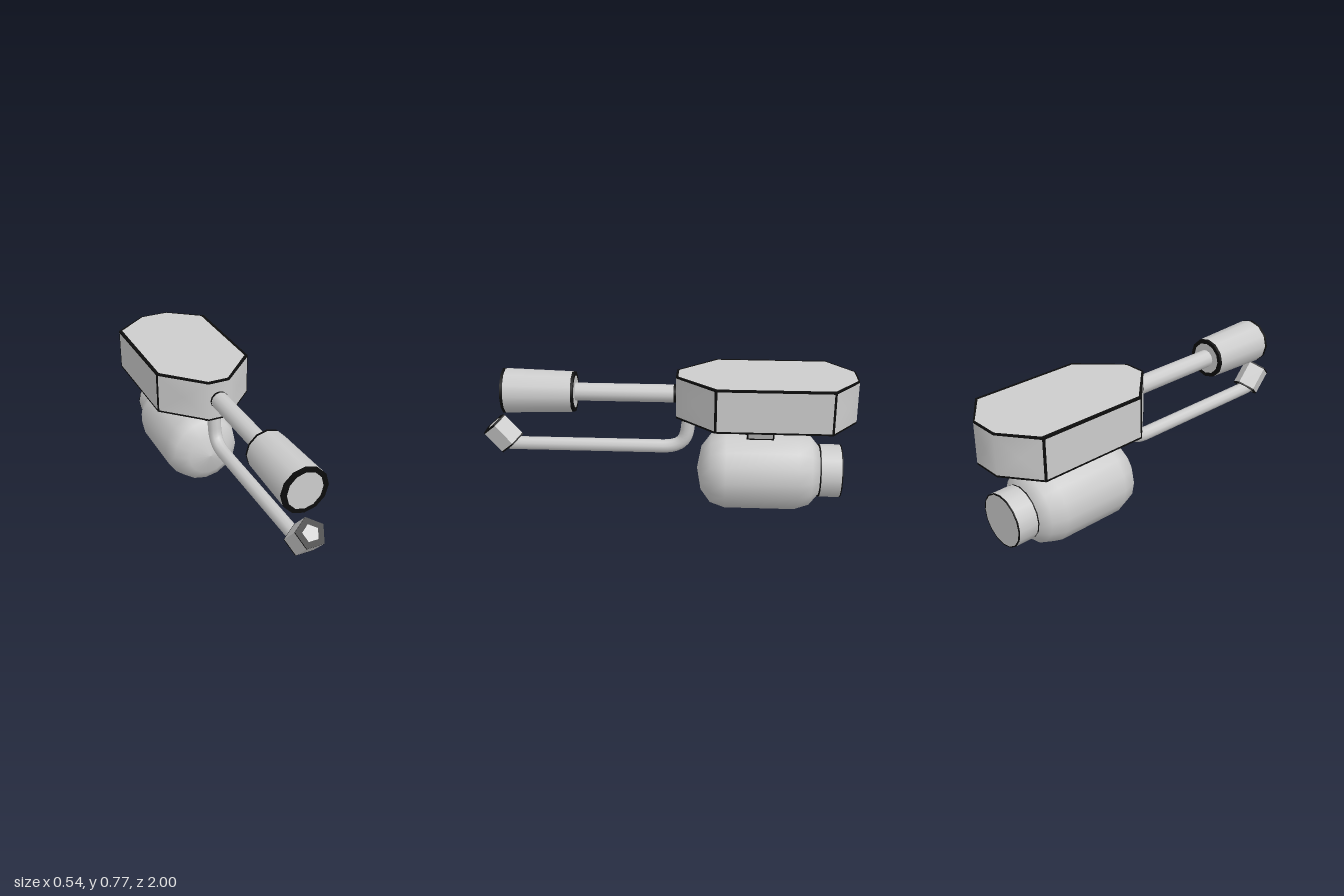
import * as THREE from 'three';

const grey = new THREE.MeshStandardMaterial({ color: 0xcccccc });
grey.name = 'light grey';
const black = new THREE.MeshStandardMaterial({ color: 0x0c0c0c });
black.name = 'black trim';

const V = (x, y, z) => new THREE.Vector3(x, y, z);

function add(parent, name, geometry, material) {
  const mesh = new THREE.Mesh(geometry, material);
  mesh.name = name;
  parent.add(mesh);
  return mesh;
}

const centre = (pts) => pts.reduce((s, p) => s.add(p), V(0, 0, 0)).divideScalar(pts.length);

// Convex panel: grey middle inside a black border, facing along "out"
function panel(parent, name, outer, inner, out) {
  const mid = centre(inner);
  const n = outer.length;
  const normal = V(0, 0, 0);
  const c = centre(outer);
  outer.forEach((p, i) => normal.add(p.clone().sub(c).cross(outer[(i + 1) % n].clone().sub(c))));
  if (normal.dot(out) < 0) {
    outer = [...outer].reverse();
    inner = [...inner].reverse();
  }
  const middle = [], border = [];
  for (let i = 0; i < n; i++) {
    const j = (i + 1) % n;
    middle.push(mid, inner[i], inner[j]);
    border.push(outer[i], outer[j], inner[j], outer[i], inner[j], inner[i]);
  }
  const g = new THREE.BufferGeometry().setFromPoints([...middle, ...border]);
  g.addGroup(0, middle.length, 0);
  g.addGroup(middle.length, border.length, 1);
  g.computeVertexNormals();
  return add(parent, name, g, [grey, black]);
}

// Four-cornered panel a-b-c-d; wa and wb are border widths at the a-d and b-c sides, wh along a-b and d-c
function quad(parent, name, [a, b, c, d], out, wa, wb, wh) {
  const at = (u, v) => a.clone().lerp(b, u).lerp(d.clone().lerp(c, u), v);
  const len = a.distanceTo(b), h = wh / a.distanceTo(d);
  const u0 = wa / len, u1 = 1 - wb / len;
  return panel(parent, name, [a, b, c, d], [at(u0, h), at(u1, h), at(u1, 1 - h), at(u0, 1 - h)], out);
}

// Six-sided block from four top and four bottom corners
function block(parent, name, top, bottom, w) {
  const group = new THREE.Group();
  group.name = name;
  const mid = centre([...top, ...bottom]);
  const face = (pts) => quad(group, name + 'Face', pts, centre(pts).sub(mid), w, w, w);
  face(top);
  face(bottom);
  for (let i = 0; i < 4; i++) {
    const j = (i + 1) % 4;
    face([top[i], top[j], bottom[j], bottom[i]]);
  }
  parent.add(group);
}

// Open sleeve along z, r0 at z0 (rear) and r1 at z1 (front)
function sleeve(parent, name, y, z0, z1, r0, r1, sides, material, flat) {
  let g = new THREE.CylinderGeometry(r1, r0, z1 - z0, sides, 1, true);
  g.rotateX(Math.PI / 2).rotateZ(Math.PI).translate(0, y, (z0 + z1) / 2);
  if (flat) {
    g = g.toNonIndexed();
    g.computeVertexNormals();
  }
  return add(parent, name, g, material);
}

// Disc cap with a black rim
function cap(parent, name, y, z, r, inX, inY, sides, dir) {
  const ring = (rx, ry) => Array.from({ length: sides }, (_, i) => {
    const t = Math.PI / 2 + (i / sides) * Math.PI * 2;
    return V(Math.cos(t) * rx, y + Math.sin(t) * ry, z);
  });
  panel(parent, name, ring(r, r), ring(inX, inY), V(0, 0, dir));
}

function buildBody(root) {
  const body = new THREE.Group();
  body.name = 'body';
  root.add(body);
  const mirror = (pts) => [...pts, ...pts.map(([x, z]) => [-x, z]).reverse()];
  const outline = mirror([[0.08, -1], [0.272, -0.86], [0.272, -0.26], [0.06, -0.05]]);
  const inset = mirror([[0.078, -0.992], [0.254, -0.858], [0.256, -0.266], [0.057, -0.062]]);
  const lo = 0.53, hi = 0.762;
  for (const [y, dir] of [[hi, 1], [lo, -1]]) {
    const flat = (pts) => pts.map(([x, z]) => V(x, y, z));
    panel(body, dir > 0 ? 'bodyTop' : 'bodyUnderside', flat(outline), flat(inset), V(0, dir, 0));
  }
  outline.forEach(([x0, z0], i) => {
    const [x1, z1] = outline[(i + 1) % 8];
    const edge = (x) => (Math.abs(x) > 0.2 ? 0.008 : 0);
    const out = V((x0 + x1) / 2, 0, (z0 + z1) / 2 + 0.53);
    const wall = quad(body, 'bodyWall', [V(x0, lo, z0), V(x1, lo, z1), V(x1, hi, z1), V(x0, hi, z0)],
      out, edge(x0), edge(x1), 0.01);
    // Nose and tail are rounded by shared normals
    const { position: p, normal } = wall.geometry.attributes;
    for (let k = 0; k < p.count; k++) {
      const x = p.getX(k);
      if (Math.abs(x) > 0.1) continue;
      const s = Math.abs(x) < 0.01 ? 0 : Math.sign(x);
      const n = p.getZ(k) > -0.5 ? V(s * 0.38, 0, 0.92) : V(s * 0.32, 0, -0.95);
      n.normalize();
      normal.setXYZ(k, n.x, n.y, n.z);
    }
  });
}

export function createModel() {
  const root = new THREE.Group();
  root.name = 'sprayer';
  buildBody(root);

  // Upper barrel and muzzle
  const by = 0.648;
  sleeve(root, 'barrelCollar', by, -0.05, -0.036, 0.05, 0.05, 12, black);
  sleeve(root, 'barrel', by, -0.036, 0.5, 0.049, 0.049, 12, grey);
  const muzzle = new THREE.Group();
  muzzle.name = 'muzzle';
  root.add(muzzle);
  sleeve(muzzle, 'muzzleRearTrim', by, 0.492, 0.506, 0.11, 0.111, 12, black);
  sleeve(muzzle, 'muzzleSleeve', by, 0.506, 0.865, 0.111, 0.122, 12, grey);
  sleeve(muzzle, 'muzzleFrontTrim', by, 0.865, 0.88, 0.122, 0.123, 12, black);
  cap(muzzle, 'muzzleFace', by, 0.88, 0.123, 0.095, 0.1, 12, 1);
  cap(muzzle, 'muzzleBack', by, 0.492, 0.11, 0.088, 0.088, 12, -1);

  // Lower feed pipe with a bend up into the body
  const path = new THREE.CurvePath();
  path.add(new THREE.LineCurve3(V(0, 0.343, 0.87), V(0, 0.343, 0.03)));
  path.add(new THREE.CubicBezierCurve3(V(0, 0.343, 0.03), V(0, 0.343, -0.06), V(0, 0.37, -0.1), V(0, 0.44, -0.11)));
  path.add(new THREE.LineCurve3(V(0, 0.44, -0.11), V(0, 0.54, -0.122)));
  add(root, 'feedPipe', new THREE.TubeGeometry(path, 48, 0.037, 10), grey);

  // Tilted five-sided igniter tip
  const tip = new THREE.Group();
  tip.name = 'igniterTip';
  tip.position.set(0, 0.344, 0.853);
  tip.rotation.x = -0.85;
  root.add(tip);
  sleeve(tip, 'tipRearTrim', 0, 0, 0.008, 0.079, 0.079, 5, black, true);
  sleeve(tip, 'tipSleeve', 0, 0.008, 0.142, 0.079, 0.079, 5, grey, true);
  sleeve(tip, 'tipFrontTrim', 0, 0.142, 0.15, 0.079, 0.079, 5, black, true);
  cap(tip, 'tipFace', 0, 0.15, 0.079, 0.044, 0.044, 5, 1);
  cap(tip, 'tipBack', 0, 0, 0.079, 0.06, 0.06, 5, -1);

  // Fuel tank, a rounded sixteen-sided drum lying along z
  const profile = [[0, -0.845], [0.13, -0.83], [0.19, -0.78], [0.217, -0.7],
    [0.217, -0.32], [0.19, -0.24], [0.12, -0.187], [0, -0.165]];
  const tank = new THREE.LatheGeometry(profile.map(([r, z]) => new THREE.Vector2(r, z)), 16);
  add(root, 'tank', tank.rotateX(Math.PI / 2).translate(0, 0.22, 0), grey);

  // Filler cap at the back of the tank
  sleeve(root, 'fillerInnerTrim', 0.22, -0.832, -0.825, 0.144, 0.144, 16, black);
  sleeve(root, 'fillerSleeve', 0.22, -0.94, -0.832, 0.144, 0.144, 16, grey);
  sleeve(root, 'fillerOuterTrim', 0.22, -0.946, -0.94, 0.144, 0.144, 16, black);
  cap(root, 'fillerFace', 0.22, -0.946, 0.144, 0.138, 0.138, 16, -1);
  cap(root, 'fillerShoulder', 0.22, -0.825, 0.144, 0.138, 0.138, 16, 1);

  // Bracket joining tank and body
  const row = (xf, yf, zf, xb, yb, zb) => [V(xf, yf, zf), V(-xf, yf, zf), V(-xb, yb, zb), V(xb, yb, zb)];
  block(root, 'bracketWedge', row(0.08, 0.532, -0.08, 0.12, 0.532, -0.43),
    row(0.065, 0.515, -0.08, 0.085, 0.452, -0.43), 0.005);
  block(root, 'bracketFoot', row(0.122, 0.532, -0.43, 0.122, 0.532, -0.575),
    row(0.082, 0.424, -0.43, 0.082, 0.424, -0.575), 0.008);
  return root;
}
